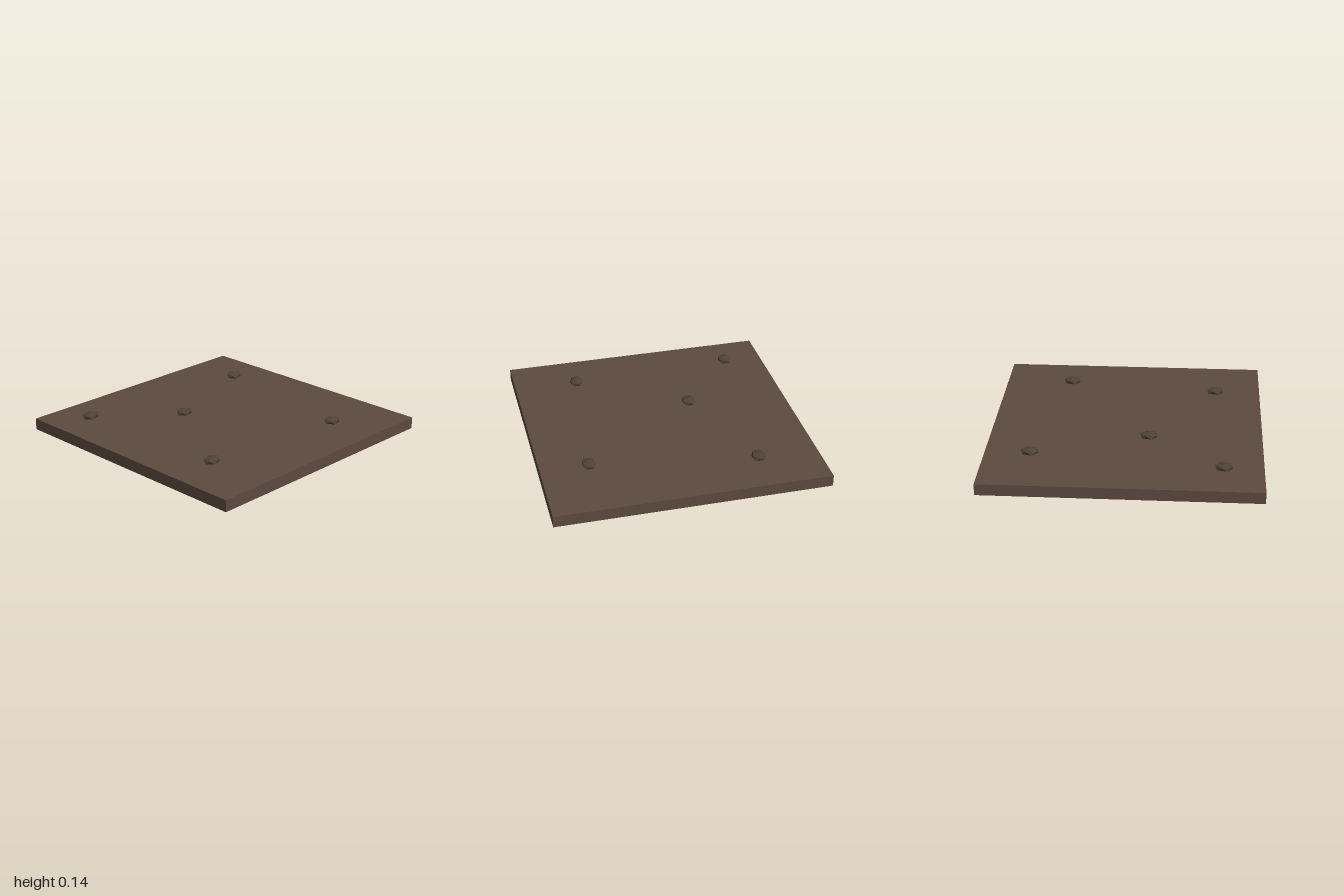
import * as THREE from 'three';

export function createModel() {
  const group = new THREE.Group();
  const soil = new THREE.MeshStandardMaterial({ name: 'soil brown', color: 0x5c4a40 });
  const stone = new THREE.MeshStandardMaterial({ name: 'stone brown', color: 0x4f4237, flatShading: true });

  // Square ground slab
  const slab = new THREE.Mesh(new THREE.BoxGeometry(2, 0.086, 2), soil);
  slab.name = 'groundSlab';
  slab.position.y = 0.043;
  group.add(slab);

  // Flattened pebble: icosahedron tipped until one corner points straight up
  const pebble = new THREE.IcosahedronGeometry(1, 0);
  pebble.rotateZ(-Math.atan(2 / (1 + Math.sqrt(5))));
  pebble.scale(0.071, 0.028, 0.056);

  const spots = [[-0.715, -0.7], [0.67, -0.55], [-0.17, -0.255], [-0.655, 0.525], [0.48, 0.65]];
  spots.forEach(([x, z], i) => {
    const mesh = new THREE.Mesh(pebble, stone);
    mesh.name = `pebble${i + 1}`;
    mesh.position.set(x, 0.114, z);
    group.add(mesh);
  });

  return group;
}
